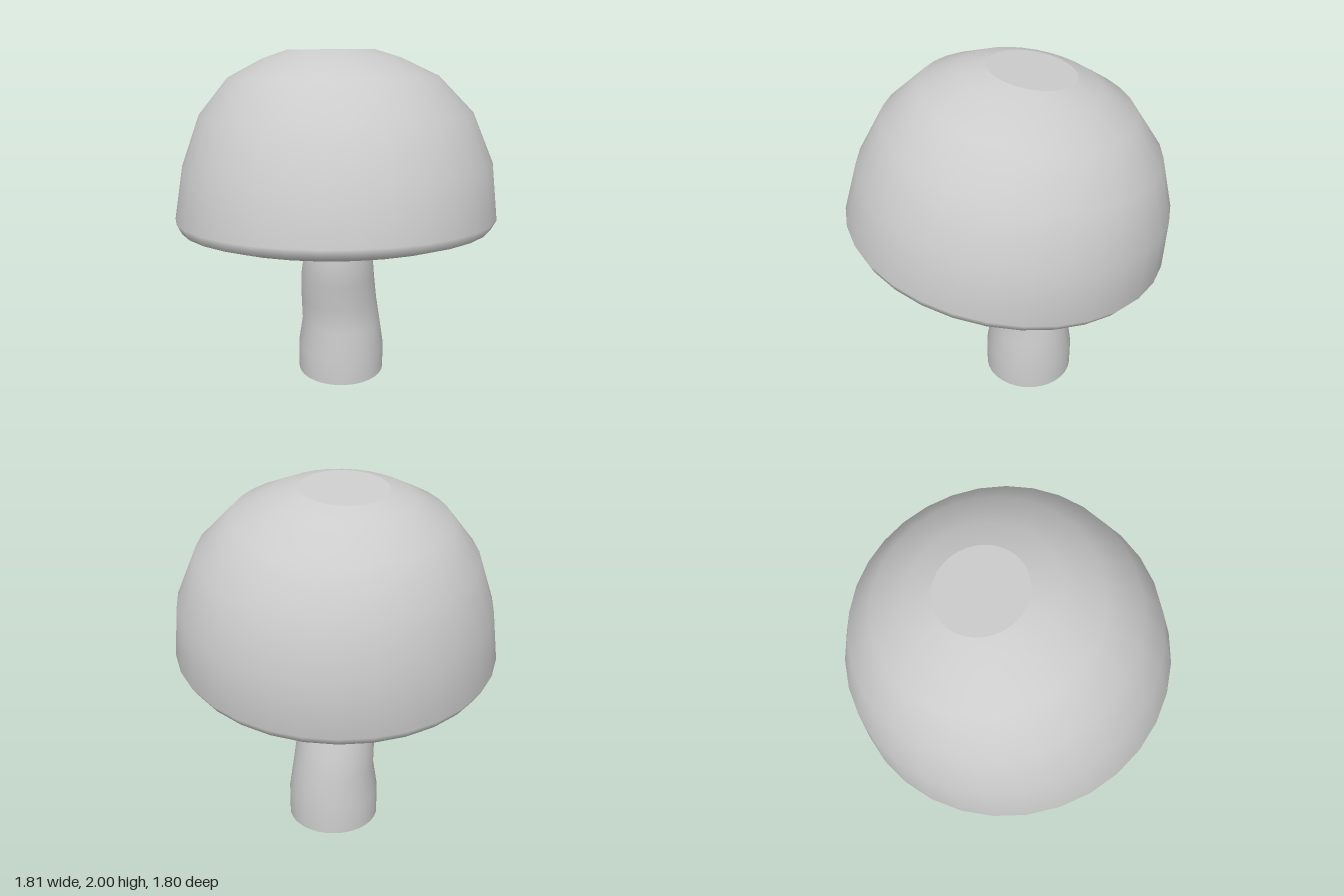
import * as THREE from 'three';
import { mergeVertices } from 'three/addons/utils/BufferGeometryUtils.js';

const SEGMENTS = 32;
const material = new THREE.MeshStandardMaterial({ color: 0xcccccc });

// Revolve a profile of [radius, height], then slide each ring sideways by bend(height, ring)
function revolved(name, profile, bend) {
  const lathe = new THREE.LatheGeometry(profile.map(([r, h]) => new THREE.Vector2(r, h)), SEGMENTS);
  const pos = lathe.attributes.position;
  for (let i = 0; i < pos.count; i++) {
    const [dx, dz] = bend(pos.getY(i), i % profile.length);
    pos.setXYZ(i, pos.getX(i) + dx, pos.getY(i), pos.getZ(i) + dz);
  }
  // Weld the seam so the smooth shading runs all the way round
  lathe.deleteAttribute('normal');
  lathe.deleteAttribute('uv');
  const geometry = mergeVertices(lathe, 1e-4);
  geometry.computeVertexNormals();
  const mesh = new THREE.Mesh(geometry, material);
  mesh.name = name;
  return mesh;
}

// Crooked stem: rings of [height, radius, centre x, centre z]
function createStem() {
  const rings = [
    [0, 0.26, 0.08, -0.13],
    [0.17, 0.26, 0.08, -0.13],
    [0.33, 0.236, 0.08, -0.129],
    [0.48, 0.227, 0.065, -0.127],
    [0.64, 0.218, 0.043, -0.085],
    [0.8, 0.2, 0.04, -0.06],
    [0.945, 0.181, 0.042, -0.062],
    [1.0, 0.175, 0.042, -0.062],
  ];
  const stem = new THREE.Group();
  stem.name = 'stem';
  stem.add(revolved('stalk', rings.map(([h, r]) => [r, h]), (h, k) => [rings[k][2], rings[k][3]]));
  stem.add(revolved('stalkBase', [[0, 0], [0.26, 0]], () => [0.08, -0.13]));
  return stem;
}

// Tilted cap: smooth dome with a rounded rim, flat crown, shallow underside
function createCap() {
  const bulge = (h) => [0.025 * Math.sin(Math.PI * h) - 0.018 * Math.max(h, 0), 0];
  const cap = new THREE.Group();
  cap.name = 'cap';
  cap.add(
    revolved('dome', [
      [0.78, 0], [0.875, 0.03], [0.906, 0.085], [0.868, 0.38],
      [0.76, 0.66], [0.583, 0.86], [0.384, 0.96], [0.24, 1.007],
    ], bulge),
    revolved('crown', [[0.24, 1.007], [0, 1.007]], bulge),
    revolved('underside', [[0, -0.022], [0.12, -0.02], [0.78, 0]], bulge),
  );
  cap.position.set(0, 0.97, 0.005);
  cap.rotation.set(THREE.MathUtils.degToRad(-8.3), 0, THREE.MathUtils.degToRad(-2.2));
  return cap;
}

export function createModel() {
  const mushroom = new THREE.Group();
  mushroom.name = 'mushroom';
  mushroom.add(createStem(), createCap());
  return mushroom;
}
